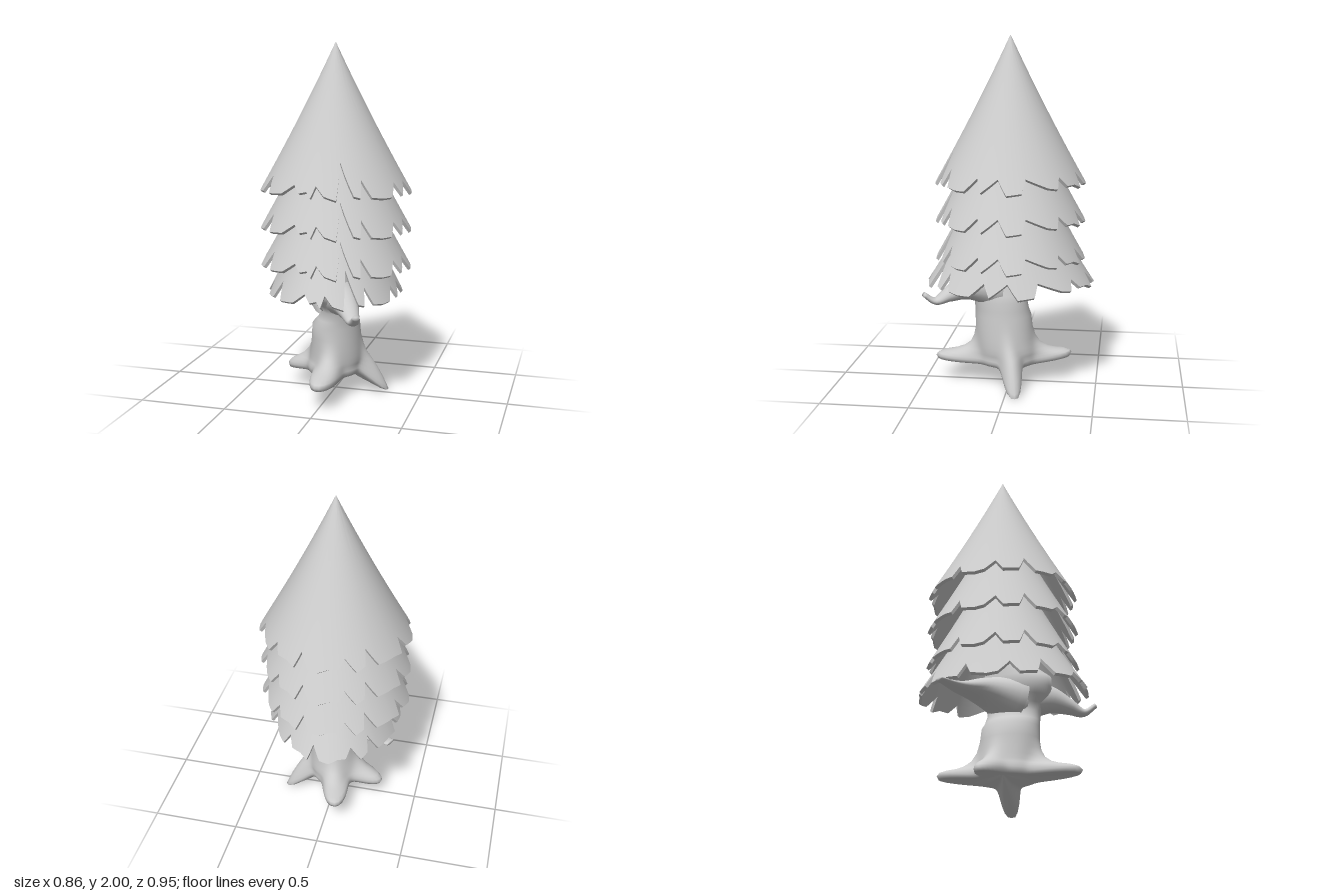
import * as THREE from 'three';
import { toCreasedNormals } from 'three/addons/utils/BufferGeometryUtils.js';

const { sin, cos, PI } = Math;
const rad = THREE.MathUtils.degToRad;

// Skin a stack of closed loops (listed from top to bottom).
function loft(rows, crease) {
  const n = rows[0].length, index = [];
  for (let i = 0; i < rows.length - 1; i++) {
    for (let j = 0; j < n; j++) {
      const k = (j + 1) % n, a = i * n + j, b = a + n, c = (i + 1) * n + k, d = i * n + k;
      index.push(a, b, c, a, c, d);
    }
  }
  const geo = new THREE.BufferGeometry();
  geo.setAttribute('position', new THREE.Float32BufferAttribute(rows.flat(2), 3));
  geo.setIndex(index);
  geo.computeVertexNormals();
  return crease ? toCreasedNormals(geo, crease) : geo;
}

// Ragged hem: angle from the front in degrees, height of the edge.
const HEM = [
  [-180, 1.18], [-172, 1.2], [-165, 1.2], [-160, 1.25], [-152, 1.18], [-145, 1.2], [-142, 1.28],
  [-134, 1.19], [-118, 1.19], [-110, 1.18], [-107, 1.26], [-101, 1.19], [-90, 1.17], [-83, 1.18],
  [-75, 1.25], [-69, 1.18], [-57, 1.19], [-51, 1.28], [-44, 1.19], [-29, 1.2], [-19, 1.25],
  [-13, 1.21], [-7, 1.22], [-3, 1.19], [0, 1.25], [7, 1.2], [16, 1.18], [20, 1.37], [29, 1.2],
  [34, 1.19], [37, 1.28], [43, 1.19], [52, 1.18], [61, 1.18], [70, 1.25], [75, 1.18],
  [87, 1.25], [94, 1.17], [105, 1.18], [109, 1.25], [126, 1.2], [134, 1.19], [139, 1.25], [145, 1.2],
  [154, 1.2], [161, 1.18], [165, 1.26], [172, 1.19],
];

function tierGeometry() {
  const cols = [], steps = 3, N = 14;
  HEM.forEach(([a, y], i) => {
    const [a2, y2] = i < HEM.length - 1 ? HEM[i + 1] : [180, HEM[0][1]];
    for (let s = 0; s < steps; s++) cols.push([rad(a + (a2 - a) * s / steps), y + (y2 - y) * s / steps]);
  });
  // Gently flaring cone, with an inner skin for thickness
  const row = (t, inset) => cols.map(([a, y]) => {
    const d = 0.002 + (2 - y) * t;
    const r = Math.max(0.47 * d + 0.06 * d * d - inset, 0.0005);
    return [r * sin(a), 2 - d - inset * 0.8, r * cos(a)];
  });
  const rows = [];
  for (let i = 0; i <= N; i++) rows.push(row(i / N, 0));
  for (let i = N; i >= 1; i--) rows.push(row(i / N, 0.014));
  return loft(rows, 0.7);
}

// Roots: angle, reach, height of the tip, angular width
const ROOTS = [[105, 0.315, -0.01, 0.26], [-99, 0.3, 0.118, 0.32], [2, 0.42, 0.145, 0.3], [-169, 0.38, 0.165, 0.3]];
// Trunk sections: y, centre x, centre z, radius x, radius z, root flare
const TRUNK = [
  [0.8, 0, 0.03, 0.09, 0.1, 0], [0.68, 0, 0.08, 0.115, 0.2, 0], [0.62, 0.005, 0.085, 0.112, 0.195, 0],
  [0.58, 0.02, 0.075, 0.105, 0.18, 0], [0.54, 0.035, 0.06, 0.1, 0.163, 0], [0.5, 0.045, 0.05, 0.1, 0.153, 0],
  [0.45, 0.03, 0.045, 0.115, 0.155, 0],
  [0.41, 0.015, 0.04, 0.135, 0.162, 0], [0.34, 0.015, 0.035, 0.14, 0.165, 0], [0.28, 0.015, 0.03, 0.145, 0.165, 0.06],
  [0.235, 0.012, 0.025, 0.15, 0.168, 0.16], [0.205, 0.01, 0.02, 0.152, 0.17, 0.34],
  [0.185, 0.005, 0.02, 0.153, 0.172, 0.56], [0.17, 0, 0.02, 0.154, 0.174, 0.8], [0.155, 0, 0.02, 0.155, 0.175, 0.95],
  [0.14, 0, 0.02, 0.155, 0.175, 1], [0.12, 0, 0.02, 0.145, 0.165, 0.95],
];

function trunkGeometry() {
  const n = 96;
  const rows = TRUNK.map(([y, cx, cz, rx, rz, flare]) => Array.from({ length: n }, (_, j) => {
    const a = j / n * 2 * PI;
    let r = 1 / Math.hypot(sin(a) / rx, cos(a) / rz), h = y;
    const base = r;
    for (const [deg, reach, tipY, width] of ROOTS) {
      const da = Math.atan2(sin(a - rad(deg)), cos(a - rad(deg)));
      const g = Math.exp(-((da / width) ** 2)) * flare;
      r += (reach - base) * g;
      h += (tipY - 0.14) * g * flare;
    }
    return [cx + r * sin(a), Math.max(h, 0), cz + r * cos(a)];
  }));
  // Hollowed underside
  const last = rows[rows.length - 1];
  for (const [s, y] of [[0.5, 0.14], [0.001, 0.16]]) {
    rows.push(last.map(([x, h, z]) => [x * s, h * s + y * (1 - s), z * s]));
  }
  return loft(rows);
}

// Branch along a curve, flared where it joins: width and thickness at root and tip
function branchGeometry(points, w0, w1, h0, h1) {
  const curve = new THREE.CatmullRomCurve3(points.map(p => new THREE.Vector3(...p)));
  const rows = [], N = 20, n = 20;
  for (let i = 0; i <= N; i++) {
    const t = i / N, c = curve.getPoint(t), T = curve.getTangent(t);
    const u = new THREE.Vector3(0, 1, 0).cross(T).normalize(), v = u.clone().cross(T);
    const w = w1 + (w0 - w1) * (1 - t) ** 1.5, h = h1 + (h0 - h1) * (1 - t) ** 2;
    const ring = k => Array.from({ length: n }, (_, j) => {
      const a = j / n * 2 * PI;
      return c.clone().addScaledVector(u, k * w * cos(a)).addScaledVector(v, k * h * sin(a)).toArray();
    });
    rows.push(ring(1));
    if (i === N) rows.push(ring(0.001));
  }
  return loft(rows);
}

export function createModel() {
  const model = new THREE.Group();
  const mat = new THREE.MeshStandardMaterial({ color: 0xcccccc, side: THREE.DoubleSide });
  const add = (name, geo) => {
    const mesh = new THREE.Mesh(geo, mat);
    mesh.name = name;
    model.add(mesh);
    return mesh;
  };

  // Four stacked skirts of foliage; the lowest is turned and squeezed sideways
  const tier = tierGeometry();
  [0, -0.215, -0.43, -0.58].forEach((y, i) => {
    const mesh = add('foliageTier' + (i + 1), tier);
    mesh.position.y = y;
    if (i === 3) {
      mesh.rotation.y = rad(8);
      mesh.scale.set(0.89, 1, 1.13);
    }
  });

  // Trunk with spreading roots
  add('trunk', trunkGeometry());

  // Two stubby branches under the foliage
  add('frontBranch', branchGeometry(
    [[0.03, 0.58, 0.08], [0.11, 0.59, 0.23], [0.17, 0.555, 0.33], [0.21, 0.525, 0.4], [0.24, 0.57, 0.46]],
    0.12, 0.02, 0.13, 0.014));
  add('backBranch', branchGeometry(
    [[0.03, 0.58, 0.05], [-0.12, 0.605, -0.08], [-0.26, 0.59, -0.16], [-0.37, 0.6, -0.22]],
    0.18, 0.03, 0.14, 0.01));
  return model;
}
